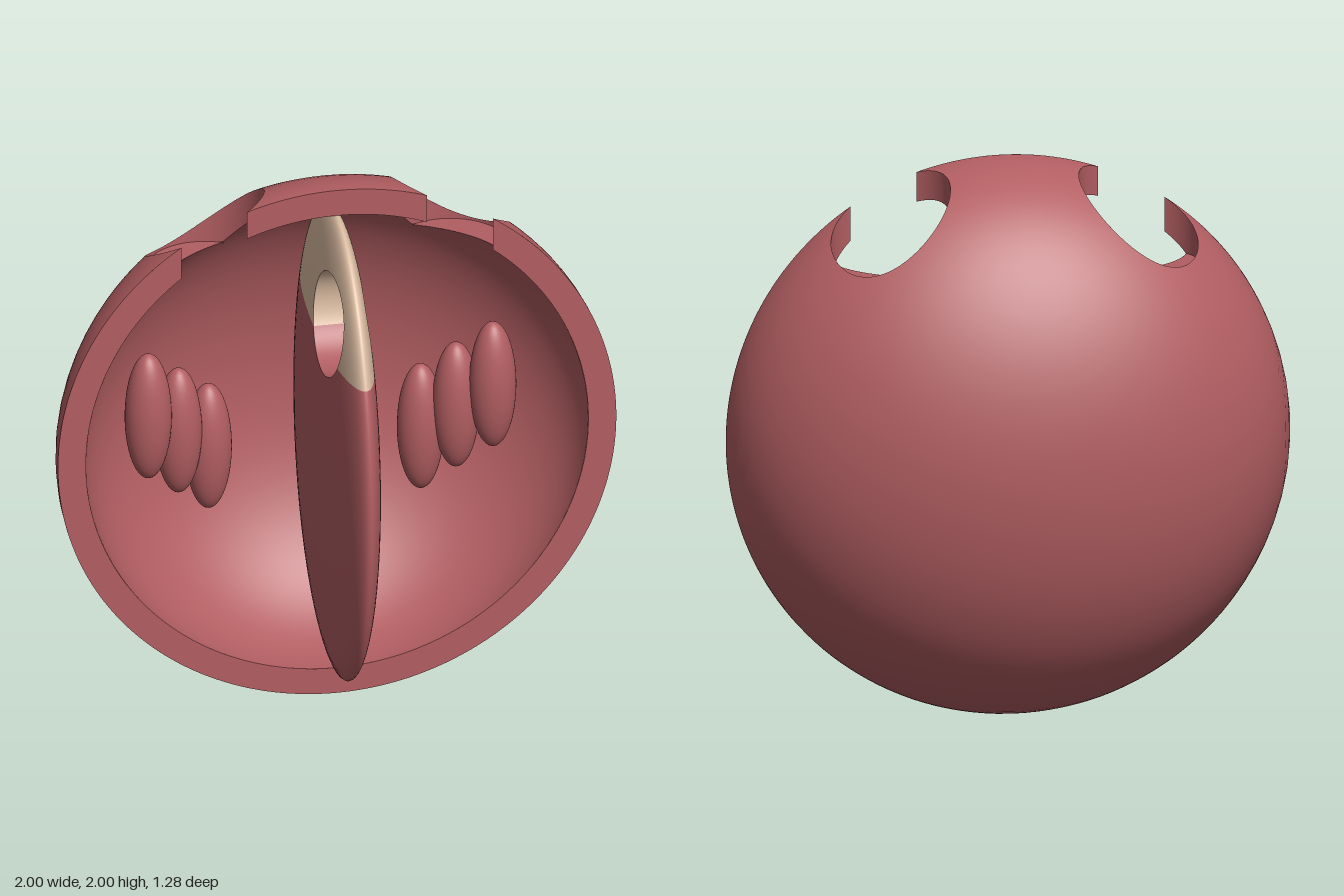
import * as THREE from 'three';
import { mergeGeometries } from 'three/addons/utils/BufferGeometryUtils.js';

// All parts are laid out around the centre of the ellipsoid shell.
const OUTER = [1, 1, 0.676];
const INNER = [0.9, 0.9, 0.608];
const FIN = [0.1, 0.9, 0.608];
const PORT = { x: 0.44, z: -0.174, r: 0.21, floor: 0.64 };  // vertical openings in the shell
const EYE = { y: 0.5625, z: 0.166, r: 0.188 };              // round hole through the fin
const PAINT_Y = 0.47;                                       // pale tip of the fin starts here

const root = (v) => Math.sqrt(Math.max(0, v));
const clamp = (v, lo, hi) => Math.min(hi, Math.max(lo, v));

// Positions between breakpoints, packed closer near each breakpoint
function spaced(breaks, n) {
  const out = [breaks[0]];
  for (let s = 1; s < breaks.length; s++) {
    for (let i = 1; i <= n; i++) {
      const t = (1 - Math.cos((Math.PI * i) / n)) / 2;
      out.push(breaks[s - 1] + (breaks[s] - breaks[s - 1]) * t);
    }
  }
  return out;
}

// Grid surface; with radii it gets exact ellipsoid normals (sign -1 faces inward)
function grid(us, rows, point, radii, sign = 1) {
  const pos = [], nor = [], idx = [];
  for (const u of us) {
    for (let j = 0; j <= rows; j++) {
      const p = point(u, j / rows);
      pos.push(p.x, p.y, p.z);
      const n = new THREE.Vector3(0, 1, 0);
      if (radii) n.set(p.x / radii[0] ** 2, p.y / radii[1] ** 2, p.z / radii[2] ** 2).normalize().multiplyScalar(sign);
      nor.push(n.x, n.y, n.z);
    }
  }
  const at = (i, a) => new THREE.Vector3().fromArray(a, i * 3);
  const tri = (a, b, c) => {
    const face = at(b, pos).sub(at(a, pos)).cross(at(c, pos).sub(at(a, pos)));
    if (face.length() < 1e-12) return;
    const middle = at(a, nor).add(at(b, nor)).add(at(c, nor));
    if (radii && face.dot(middle) < 0) idx.push(a, c, b);
    else idx.push(a, b, c);
  };
  for (let i = 0; i < us.length - 1; i++) {
    for (let j = 0; j < rows; j++) {
      const a = i * (rows + 1) + j, b = a + rows + 1;
      tri(a, b, b + 1);
      tri(a, b + 1, a + 1);
    }
  }
  const g = new THREE.BufferGeometry();
  g.setAttribute('position', new THREE.Float32BufferAttribute(pos, 3));
  g.setAttribute('normal', new THREE.Float32BufferAttribute(nor, 3));
  g.setIndex(idx);
  if (!radii) g.computeVertexNormals();
  return g;
}

// Back half of an ellipsoid, swept over x, leaving out the two ports
function shellSkin(radii, sign, cutAtFloor) {
  const [rx, ry, rz] = radii;
  const gap = root(PORT.r ** 2 - PORT.z ** 2);
  const half = [PORT.x - PORT.r, PORT.x - gap, PORT.x + gap, PORT.x + PORT.r, rx];
  const us = spaced([...half.map((v) => -v).reverse(), ...half], 14);
  const angles = (x) => {
    const k = root(1 - (x / rx) ** 2);
    const h = root(PORT.r ** 2 - (Math.abs(x) - PORT.x) ** 2);
    const toAngle = (z) => (k < 1e-6 ? Math.PI / 2 : Math.asin(clamp(-z / (rz * k), 0, 1)));
    const a = toAngle(PORT.z + h);
    let b = toAngle(PORT.z - h);
    if (cutAtFloor) b = Math.min(b, k * ry > PORT.floor ? Math.acos(PORT.floor / (k * ry)) : 0);
    return [k, a, Math.max(a, b)];
  };
  const point = (x, phi, k) => new THREE.Vector3(x, ry * k * Math.cos(phi), -rz * k * Math.sin(phi));
  const front = grid(us, 8, (x, t) => {
    const [k, a] = angles(x);
    return point(x, a * t, k);
  }, radii, sign);
  const back = grid(us, 44, (x, t) => {
    const [k, , b] = angles(x);
    return point(x, b + (Math.PI - b) * t, k);
  }, radii, sign);
  return mergeGeometries([front, back]);
}

// Flat rim on the cut plane, interrupted by the ports
function rimGeometry() {
  const gap = root(PORT.r ** 2 - PORT.z ** 2);
  const piece = (x, top) => {
    const o = Math.acos(x), i = Math.acos(x / INNER[0]);
    const s = new THREE.Shape();
    if (top) {
      s.absarc(0, 0, 1, o, Math.PI - o, false);
      s.absarc(0, 0, INNER[0], Math.PI - i, i, true);
    } else {
      s.absarc(0, 0, 1, o, Math.PI - o, true);
      s.absarc(0, 0, INNER[0], Math.PI - i, i, false);
    }
    return s;
  };
  return new THREE.ShapeGeometry([piece(PORT.x - gap, true), piece(PORT.x + gap, false)], 90);
}

// Upright wall of a port, from its ledge or the inner skin to the outer skin
function portWall(side) {
  const open = Math.asin(-PORT.z / PORT.r);
  const height = (r, x, z) => r[1] * root(1 - (x / r[0]) ** 2 - (z / r[2]) ** 2);
  return grid(spaced([open, -Math.PI - open], 80), 1, (a, t) => {
    const x = PORT.x + PORT.r * Math.cos(a), z = PORT.z + PORT.r * Math.sin(a);
    const low = Math.max(PORT.floor, height(INNER, x, z));
    return new THREE.Vector3(side * x, low + (height(OUTER, x, z) - low) * t, z);
  });
}

// Flat ledge at the bottom of a port
function portLedge(side) {
  return grid(spaced([PORT.x - PORT.r, PORT.x + PORT.r], 60), 1, (x, t) => {
    const h = root(PORT.r ** 2 - (x - PORT.x) ** 2);
    const edge = -INNER[2] * root(1 - (PORT.floor / INNER[1]) ** 2 - (x / INNER[0]) ** 2);
    const back = PORT.z - h;
    const front = Math.min(0, PORT.z + h, Math.max(back, edge));
    return new THREE.Vector3(side * x, PORT.floor, back + (front - back) * t);
  });
}

// One cheek of the fin between given heights, leaving out the eye
function finSkin(side, breaks) {
  const [rx, ry, rz] = FIN;
  const angles = (y) => {
    const k = root(1 - (y / ry) ** 2);
    const h = root(EYE.r ** 2 - (y - EYE.y) ** 2);
    const toAngle = (z) => (k < 1e-6 ? Math.PI / 2 : Math.acos(clamp(z / (rz * k), -1, 1)));
    return [k, toAngle(EYE.z + h), toAngle(EYE.z - h)];
  };
  const part = (back) => grid(spaced(breaks, 24), 20, (y, t) => {
    const [k, a, b] = angles(y);
    const q = back ? b + (Math.PI - b) * t : a * t;
    return new THREE.Vector3(side * rx * k * Math.sin(q), y, rz * k * Math.cos(q));
  }, FIN);
  return mergeGeometries([part(false), part(true)]);
}

// Bore of the fin's eye between two angles
function eyeWall(from, to) {
  return grid(spaced([from, to], 40), 1, (a, t) => {
    const y = EYE.y + EYE.r * Math.sin(a), z = EYE.z + EYE.r * Math.cos(a);
    const w = FIN[0] * root(1 - (y / FIN[1]) ** 2 - (z / FIN[2]) ** 2);
    return new THREE.Vector3(w * (2 * t - 1), y, z);
  });
}

export function createModel() {
  const red = new THREE.MeshStandardMaterial({ color: 0xb25e62, side: THREE.DoubleSide });
  red.name = 'dusty red';
  const tan = new THREE.MeshStandardMaterial({ color: 0xdbbca2, side: THREE.DoubleSide });
  tan.name = 'pale tan';

  const model = new THREE.Group();
  model.name = 'halfShellWithFin';
  const body = new THREE.Group();
  body.name = 'body';
  body.position.set(0, 1, 0.034);
  model.add(body);
  const add = (name, geometry, material) => {
    const mesh = new THREE.Mesh(geometry, material);
    mesh.name = name;
    body.add(mesh);
    return mesh;
  };

  // Hollow shell
  add('outerShell', shellSkin(OUTER, 1, false), red);
  add('innerShell', shellSkin(INNER, -1, true), red);
  add('rim', rimGeometry(), red);

  // Central fin with a pale tip and a round eye
  const bottom = EYE.y - EYE.r, top = EYE.y + EYE.r;
  const cheeks = (breaks) => mergeGeometries([1, -1].map((s) => finSkin(s, breaks)));
  add('finBody', cheeks([-FIN[1], bottom, PAINT_Y]), red);
  add('finTip', cheeks([PAINT_Y, top, FIN[1]]), tan);
  const split = Math.asin((PAINT_Y - EYE.y) / EYE.r);
  add('finEyeLower', eyeWall(-Math.PI - split, split), red);
  add('finEyeUpper', eyeWall(split, Math.PI - split), tan);

  // Ports and rows of slender pods, mirrored
  const pods = [[0.617, 0.01, -0.3], [0.497, -0.09, -0.36], [0.38, -0.19, -0.41]];
  for (const side of [1, -1]) {
    const label = side > 0 ? 'left' : 'right';
    add(label + 'PortWall', portWall(side), red);
    add(label + 'PortLedge', portLedge(side), red);
    pods.forEach(([x, y, z], i) => {
      const pod = add(label + 'Pod' + (i + 1), new THREE.SphereGeometry(1, 40, 28), red);
      pod.scale.set(0.083, 0.245, 0.082);
      pod.position.set(side * x, y, z);
    });
  }
  return model;
}
